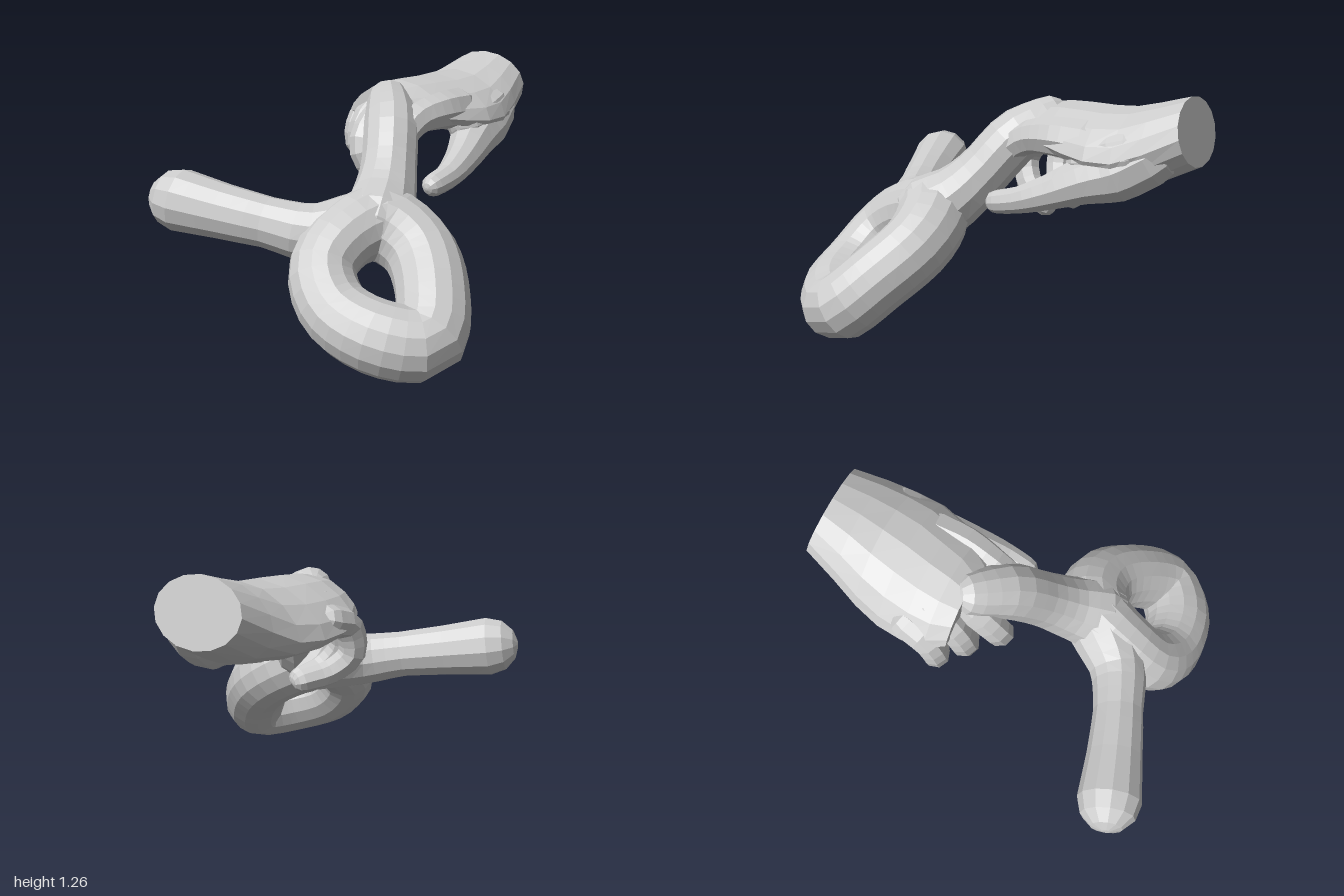
import * as THREE from 'three';

const material = new THREE.MeshStandardMaterial({ color: 0xcccccc, flatShading: true });

// Skin a list of equal-length vertex rings; flat fans close the ends unless looped
function skin(rings, closed, name) {
  const n = rings[0].length, pos = [], idx = [];
  rings.forEach(r => r.forEach(p => pos.push(p.x, p.y, p.z)));
  const last = closed ? rings.length : rings.length - 1;
  for (let i = 0; i < last; i++) {
    const a0 = i * n, b0 = ((i + 1) % rings.length) * n;
    for (let j = 0; j < n; j++) {
      const k = (j + 1) % n;
      idx.push(a0 + j, a0 + k, b0 + j, a0 + k, b0 + k, b0 + j);
    }
  }
  if (!closed) {
    const e = (rings.length - 1) * n;
    for (let j = 1; j < n - 1; j++) idx.push(0, j + 1, j, e, e + j, e + j + 1);
  }
  const g = new THREE.BufferGeometry();
  g.setAttribute('position', new THREE.Float32BufferAttribute(pos, 3));
  g.setIndex(idx);
  g.computeVertexNormals();
  const mesh = new THREE.Mesh(g, material);
  mesh.name = name;
  return mesh;
}

// Tapering tube through [x, y, z, radius] points, with rounded ends when open
function limb(name, pts, steps, sides, closed = false) {
  const curve = new THREE.CatmullRomCurve3(
    pts.map(p => new THREE.Vector3(p[0], p[1], p[2])), closed, 'centripetal');
  const f = curve.computeFrenetFrames(steps, closed);
  const spans = closed ? pts.length : pts.length - 1;
  const radius = u => {
    const t = curve.getUtoTmapping(u) * spans;
    const i = Math.min(Math.floor(t), spans - 1);
    return THREE.MathUtils.lerp(pts[i][3], pts[(i + 1) % pts.length][3], t - i);
  };
  const ring = (i, scale, push) => {
    const r = radius(i / steps);
    const c = curve.getPointAt(i / steps).addScaledVector(f.tangents[i], push * r);
    return Array.from({ length: sides }, (_, j) => {
      const a = j / sides * Math.PI * 2;
      return c.clone()
        .addScaledVector(f.normals[i], Math.cos(a) * r * scale)
        .addScaledVector(f.binormals[i], Math.sin(a) * r * scale);
    });
  };
  const rings = [];
  const dome = [1.45, 1.05, 0.55];
  if (!closed) dome.forEach(a => rings.push(ring(0, Math.cos(a), -Math.sin(a))));
  for (let i = 0; i < (closed ? steps : steps + 1); i++) rings.push(ring(i, 1, 0));
  if (!closed) [...dome].reverse().forEach(a => rings.push(ring(steps, Math.cos(a), Math.sin(a))));
  return skin(rings, closed, name);
}

// Palm and wrist from [x, y, z, half height, half width, arch, tilt] sections, drooping more at the back
function palm() {
  const sections = [
    [0.16, 1.10, -0.19, 0.055, 0.24, 0.10, 0],
    [0.26, 1.085, -0.17, 0.09, 0.31, 0.12, 0],
    [0.38, 1.065, -0.15, 0.115, 0.335, 0.12, 0],
    [0.52, 1.035, -0.12, 0.145, 0.35, 0.10, 0],
    [0.66, 1.015, -0.10, 0.175, 0.33, 0.07, 0],
    [0.80, 1.03, -0.09, 0.19, 0.29, 0.02, -0.08],
    [0.965, 1.095, -0.09, 0.165, 0.24, 0, -0.21],
  ];
  const n = 16;
  const rings = sections.map(([x, y, z, h, w, arch, tilt]) =>
    Array.from({ length: n }, (_, j) => {
      const a = -j / n * Math.PI * 2, s = Math.sin(a), c = Math.cos(a);
      const droop = arch * c * c * (c > 0 ? 0.7 : 1);
      return new THREE.Vector3(x + tilt * h * s, y + h * s - droop, z + w * c);
    }));
  return skin(rings, false, 'palmAndWrist');
}

export function createModel() {
  const model = new THREE.Group();

  // Looped soft form: ring, free tail, and the neck held by the hand
  const form = new THREE.Group();
  form.name = 'loopedForm';
  form.add(
    limb('ring', [
      [-0.53, 0.56, 0.13, 0.165], [-0.35, 0.59, 0.19, 0.19], [-0.305, 0.49, 0.38, 0.18],
      [-0.43, 0.33, 0.57, 0.175], [-0.60, 0.18, 0.66, 0.175], [-0.74, 0.20, 0.51, 0.175],
      [-0.775, 0.29, 0.27, 0.165], [-0.70, 0.44, 0.13, 0.16],
    ], 28, 14, true),
    limb('tail', [
      [-0.845, 0.665, -0.675, 0.158], [-0.77, 0.63, -0.45, 0.138], [-0.685, 0.595, -0.22, 0.125],
      [-0.59, 0.56, -0.02, 0.145], [-0.42, 0.58, 0.14, 0.18],
    ], 12, 12),
    limb('neck', [
      [-0.36, 0.60, 0.18, 0.19], [-0.23, 0.69, 0.12, 0.16], [-0.12, 0.81, 0.06, 0.14],
      [0.02, 0.99, -0.04, 0.14], [0.14, 1.075, -0.15, 0.115],
    ], 10, 12));
  model.add(form);

  // Hand: palm, thumb in front, index along the neck, three fingers curled beneath
  const hand = new THREE.Group();
  hand.name = 'hand';
  hand.add(palm());
  hand.add(limb('thumbWeb', [
    [0.70, 0.98, 0.06, 0.16], [0.60, 0.96, 0.08, 0.15], [0.49, 0.945, 0.10, 0.11],
  ], 5, 10));
  hand.add(limb('thumb', [
    [0.78, 0.98, 0.05, 0.15], [0.64, 0.90, 0.085, 0.15], [0.49, 0.85, 0.135, 0.12],
    [0.33, 0.785, 0.185, 0.09], [0.17, 0.73, 0.215, 0.068], [0.05, 0.705, 0.212, 0.06],
  ], 14, 10));
  hand.add(limb('indexFinger', [
    [0.46, 1.02, 0.06, 0.11], [0.30, 1.03, 0.06, 0.10], [0.14, 1.01, 0.04, 0.085],
    [0.04, 0.95, 0.035, 0.075], [0.0, 0.87, 0.025, 0.065],
  ], 10, 8));
  const fingers = {
    middleFinger: [[0.28, 1.06, -0.18, 0.09], [0.09, 0.98, -0.21, 0.08],
      [-0.01, 0.85, -0.205, 0.072], [0.04, 0.71, -0.15, 0.068], [0.15, 0.63, -0.11, 0.06]],
    ringFinger: [[0.30, 1.04, -0.30, 0.09], [0.17, 0.96, -0.325, 0.078],
      [0.12, 0.82, -0.325, 0.07], [0.16, 0.71, -0.25, 0.066], [0.27, 0.665, -0.18, 0.058]],
    littleFinger: [[0.38, 0.99, -0.41, 0.08], [0.26, 0.95, -0.435, 0.072],
      [0.22, 0.81, -0.435, 0.068], [0.28, 0.725, -0.36, 0.062], [0.39, 0.69, -0.27, 0.055]],
  };
  for (const [name, pts] of Object.entries(fingers)) hand.add(limb(name, pts, 12, 8));
  model.add(hand);
  return model;
}
